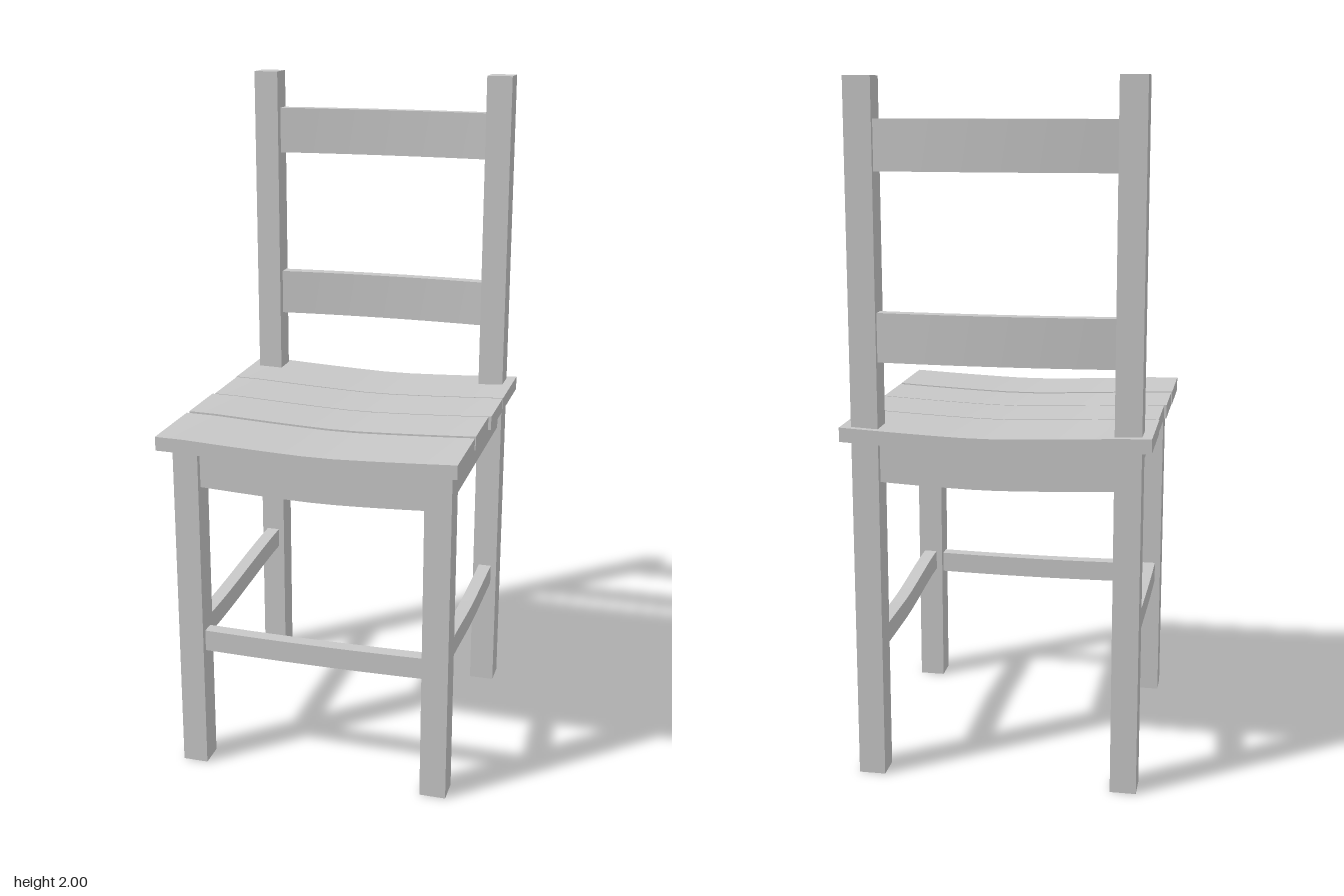
import * as THREE from 'three';

export function createModel() {
  const model = new THREE.Group();
  model.name = 'chair';
  const wood = new THREE.MeshStandardMaterial({ color: 0xc8c8c8 });
  wood.name = 'light grey wood';

  // A board between two corners; bend(p) may move its vertices along the length.
  function board(name, [x0, x1], [y0, y1], [z0, z1], bend) {
    const size = [x1 - x0, y1 - y0, z1 - z0];
    const longest = size.indexOf(Math.max(...size));
    const segs = [0, 1, 2].map(i => (bend && i === longest ? 10 : 1));
    const geo = new THREE.BoxGeometry(...size, ...segs);
    geo.translate((x0 + x1) / 2, (y0 + y1) / 2, (z0 + z1) / 2);
    if (bend) {
      const pos = geo.attributes.position;
      const p = new THREE.Vector3();
      for (let i = 0; i < pos.count; i++) {
        p.fromBufferAttribute(pos, i);
        bend(p);
        pos.setXYZ(i, p.x, p.y, p.z);
      }
      geo.computeVertexNormals();
    }
    const mesh = new THREE.Mesh(geo, wood);
    mesh.name = name;
    model.add(mesh);
  }

  // 1 in the middle of a span, 0 at its ends; a lower power gives a sharper dip
  const bow = (x, half, power = 2) => Math.max(0, 1 - Math.abs(x / half) ** power);

  // Legs; the back pair runs up into the backrest
  for (const [side, xs] of [['right', [-0.405, -0.33]], ['left', [0.333, 0.41]]]) {
    board(side + 'FrontLeg', xs, [0, 1.005], [0.333, 0.41]);
    board(side + 'BackPost', xs, [0, 2], [-0.428, -0.35]);
  }

  // Four sagging seat planks
  const planks = [
    [[-0.433, 0.439], [-0.449, -0.2]],
    [[-0.431, 0.439], [-0.194, -0.001]],
    [[-0.438, 0.431], [0.004, 0.195]],
    [[-0.44, 0.431], [0.211, 0.449]],
  ];
  planks.forEach(([xs, zs], i) =>
    board('seatPlank' + (i + 1), xs, [1.005, 1.046], zs, p => {
      p.y -= 0.018 * bow(p.x - 0.04, 0.42, 1.3);
    }));

  // Aprons under the seat
  const sag = p => { p.y -= 0.014 * bow(p.x - 0.03, 0.36, 1.5); };
  board('frontApron', [-0.335, 0.338], [0.886, 1.003], [0.352, 0.392], sag);
  board('backApron', [-0.335, 0.338], [0.886, 1.003], [-0.41, -0.37], sag);
  board('rightApron', [-0.382, -0.34], [0.9, 1.005], [-0.355, 0.338]);
  board('leftApron', [0.356, 0.398], [0.9, 1.005], [-0.355, 0.338]);

  // Lower rails: the side ones drift up or down towards the back
  board('frontRail', [-0.335, 0.338], [0.368, 0.432], [0.352, 0.392],
    p => { p.y -= 0.004 * bow(p.x, 0.34); });
  const drift = (rise, zFrom, zTo) => p => {
    p.y += rise * THREE.MathUtils.smoothstep(-p.z, -zFrom, -zTo);
  };
  board('rightRail', [-0.388, -0.348], [0.382, 0.443], [-0.355, 0.338], drift(0.022, 0.25, -0.36));
  board('leftRail', [0.352, 0.392], [0.382, 0.443], [-0.355, 0.338], drift(-0.027, 0.34, -0.1));

  // Back slats, bowed backwards
  const bowBack = p => { p.z -= 0.015 * bow(p.x, 0.34); };
  board('lowerSlat', [-0.335, 0.338], [1.226, 1.364], [-0.414, -0.375], bowBack);
  board('upperSlat', [-0.335, 0.338], [1.748, 1.887], [-0.414, -0.375], bowBack);

  return model;
}
